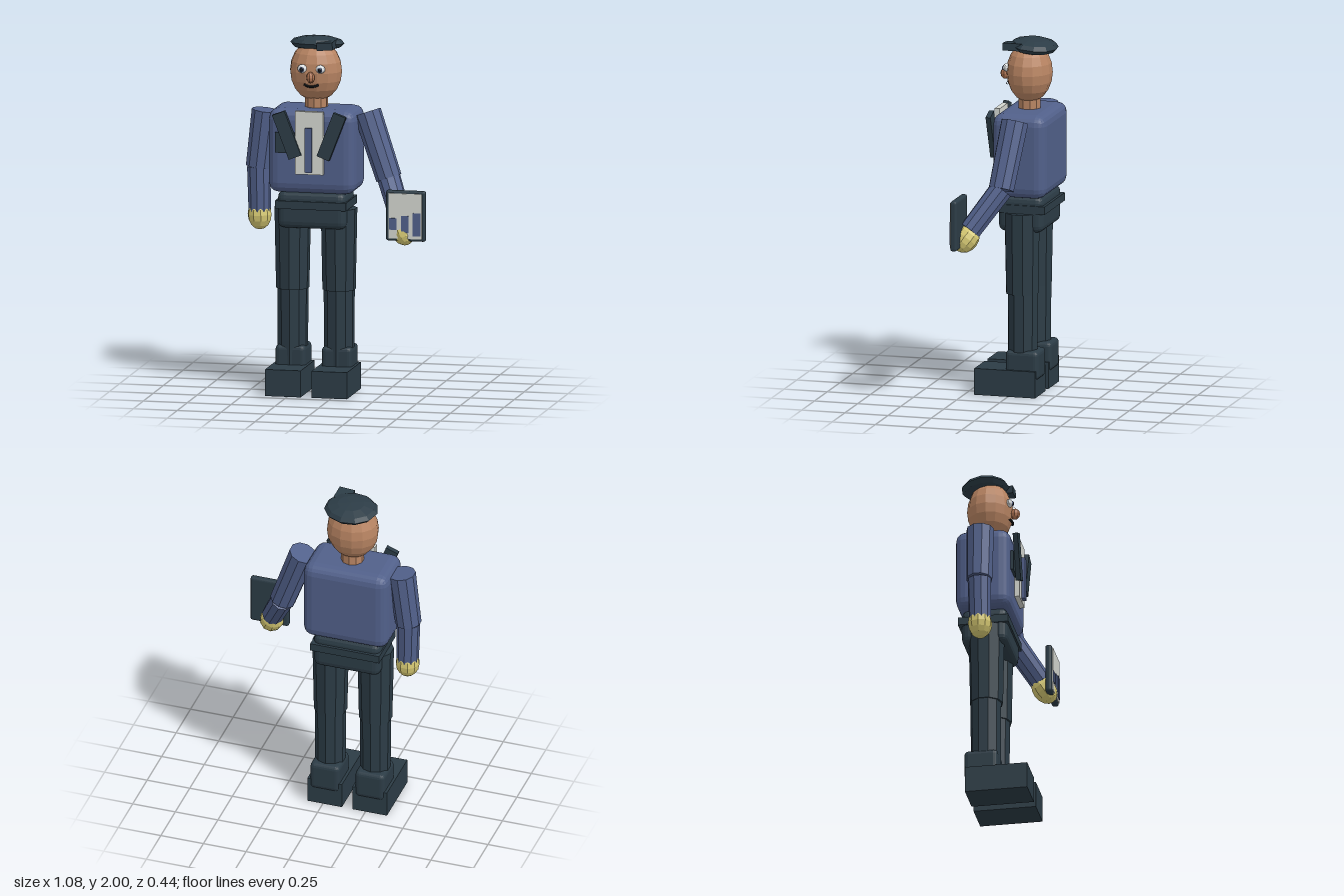
import * as THREE from 'three';
import { RoundedBoxGeometry } from 'three/addons/geometries/RoundedBoxGeometry.js';

const CX = -0.14;  // body centre line
const CZ = -0.057; // body depth centre

export function createModel() {
  const model = new THREE.Group();
  model.name = 'officer';

  const material = (name, color, flatShading = true) => {
    const m = new THREE.MeshStandardMaterial({ color, flatShading });
    m.name = name;
    return m;
  };
  const blue = material('jacket blue', 0x51608a);
  const dark = material('dark slate', 0x2c3c46);
  const skin = material('skin', 0xb98563);
  const noseSkin = material('nose skin', 0xb07452);
  const yellow = material('glove yellow', 0xd6c973);
  const white = material('shirt white', 0xd3d6d0);
  const eyeWhite = material('eye white', 0xe6eaec);
  const black = material('near black', 0x15191d);

  const add = (name, geometry, mat, x, y, z) => {
    const mesh = new THREE.Mesh(geometry, mat);
    mesh.name = name;
    mesh.position.set(x, y, z);
    model.add(mesh);
    return mesh;
  };
  const box = (name, mat, w, h, d, x, y, z) =>
    add(name, new THREE.BoxGeometry(w, h, d), mat, x, y, z);
  const softBox = (name, mat, w, h, d, r, x, y, z) =>
    add(name, new RoundedBoxGeometry(w, h, d, 2, r), mat, x, y, z);
  const ball = (name, mat, rx, ry, rz, x, y, z, ws = 12, hs = 8) =>
    add(name, new THREE.SphereGeometry(1, ws, hs).scale(rx, ry, rz), mat, x, y, z);

  // Tapered limb running from a (top) to b (bottom)
  const up = new THREE.Vector3(0, 1, 0);
  const limb = (name, mat, a, b, rTop, rBottom, sides = 10) => {
    const from = new THREE.Vector3(...a), to = new THREE.Vector3(...b);
    const axis = from.clone().sub(to);
    const mid = from.clone().add(to).multiplyScalar(0.5);
    const mesh = add(name, new THREE.CylinderGeometry(rTop, rBottom, axis.length(), sides), mat, mid.x, mid.y, mid.z);
    mesh.quaternion.setFromUnitVectors(up, axis.normalize());
    return mesh;
  };

  // Torso, hips and belt
  softBox('jacket', blue, 0.497, 0.475, 0.31, 0.06, CX, 1.365, -0.06);
  softBox('hips', dark, 0.39, 0.21, 0.26, 0.04, CX - 0.003, 1.032, CZ);
  box('belt', dark, 0.405, 0.045, 0.285, CX - 0.003, 1.062, -0.06);

  // Shirt front, tie, pocket and lapels
  box('shirtFront', white, 0.16, 0.355, 0.03, CX - 0.002, 1.423, 0.108);
  box('tie', blue, 0.038, 0.25, 0.025, CX - 0.002, 1.385, 0.131);
  box('breastPocket', dark, 0.15, 0.115, 0.02, -0.262, 1.418, 0.1);
  for (const s of [-1, 1]) {
    const lapel = box('lapel', dark, 0.075, 0.265, 0.028, CX + 0.127 * s, 1.465, 0.122);
    lapel.rotation.z = -0.37 * s;
  }

  // Legs, ankles and shoes
  for (const s of [-1, 1]) {
    const x = CX - 0.002 + 0.132 * s;
    limb('thigh', dark, [x, 1.035, -0.053], [x, 0.575, -0.053], 0.102, 0.093);
    limb('shin', dark, [x, 0.6, CZ], [x, 0.11, CZ], 0.087, 0.084);
    softBox('ankle', dark, 0.172, 0.165, 0.19, 0.025, x, 0.177, -0.072);
    box('shoe', dark, 0.203, 0.15, 0.352, x, 0.075, 0.019);
  }

  // Arms with gloved hands
  const arm = (side, shoulder, elbow, wrist, palm) => {
    limb(side + 'UpperArm', blue, shoulder, elbow, 0.078, 0.073);
    const fore = limb(side + 'Forearm', blue, elbow, wrist, 0.066, 0.062);
    const hand = ball(side + 'Hand', yellow, 0.068, 0.085, 0.068, ...palm, 10, 8);
    hand.quaternion.copy(fore.quaternion);
  };
  arm('right', [-0.43, 1.57, -0.06], [-0.468, 1.25, -0.058], [-0.463, 1.0, -0.055], [-0.463, 0.98, -0.055]);
  arm('left', [0.15, 1.58, -0.058], [0.282, 1.22, -0.018], [0.39, 1.0, 0.13], [0.402, 0.955, 0.148]);

  // Clipboard with a bar chart
  softBox('clipboard', dark, 0.226, 0.285, 0.038, 0.014, 0.426, 1.048, 0.186);
  box('paper', white, 0.19, 0.255, 0.006, 0.425, 1.048, 0.207);
  [0.065, 0.095, 0.13].forEach((h, i) =>
    box('chartBar', blue, 0.043, h, 0.005, 0.356 + 0.068 * i, 1.003, 0.212));

  // Neck and head
  limb('neck', skin, [CX, 1.68, CZ], [CX, 1.57, CZ], 0.064, 0.064);
  ball('head', skin, 0.148, 0.172, 0.128, CX - 0.002, 1.805, CZ, 14, 10);
  ball('nose', noseSkin, 0.024, 0.032, 0.028, CX - 0.002, 1.787, 0.084, 8, 6);
  for (const s of [-1, 1]) {
    const x = CX - 0.002 + 0.052 * s;
    ball('eye', eyeWhite, 0.027, 0.024, 0.018, x, 1.832, 0.062);
    ball('iris', blue, 0.014, 0.015, 0.006, x, 1.829, 0.079, 10, 6);
    ball('pupil', black, 0.009, 0.01, 0.005, x, 1.829, 0.083, 10, 6);
  }
  const smile = new THREE.QuadraticBezierCurve3(
    new THREE.Vector3(-0.04, 0.006, -0.012),
    new THREE.Vector3(0, -0.014, 0.012),
    new THREE.Vector3(0.04, 0.006, -0.012));
  add('mouth', new THREE.TubeGeometry(smile, 8, 0.007, 6), black, CX - 0.002, 1.737, 0.071);

  // Beret with its front tab
  const beret = ball('beret', dark, 0.153, 0.044, 0.134, CX - 0.002, 1.955, -0.085, 11, 6);
  beret.rotation.x = -0.09;
  const tab = box('beretTab', dark, 0.09, 0.042, 0.11, -0.067, 1.96, 0.01);
  tab.rotation.z = 0.08;

  return model;
}
